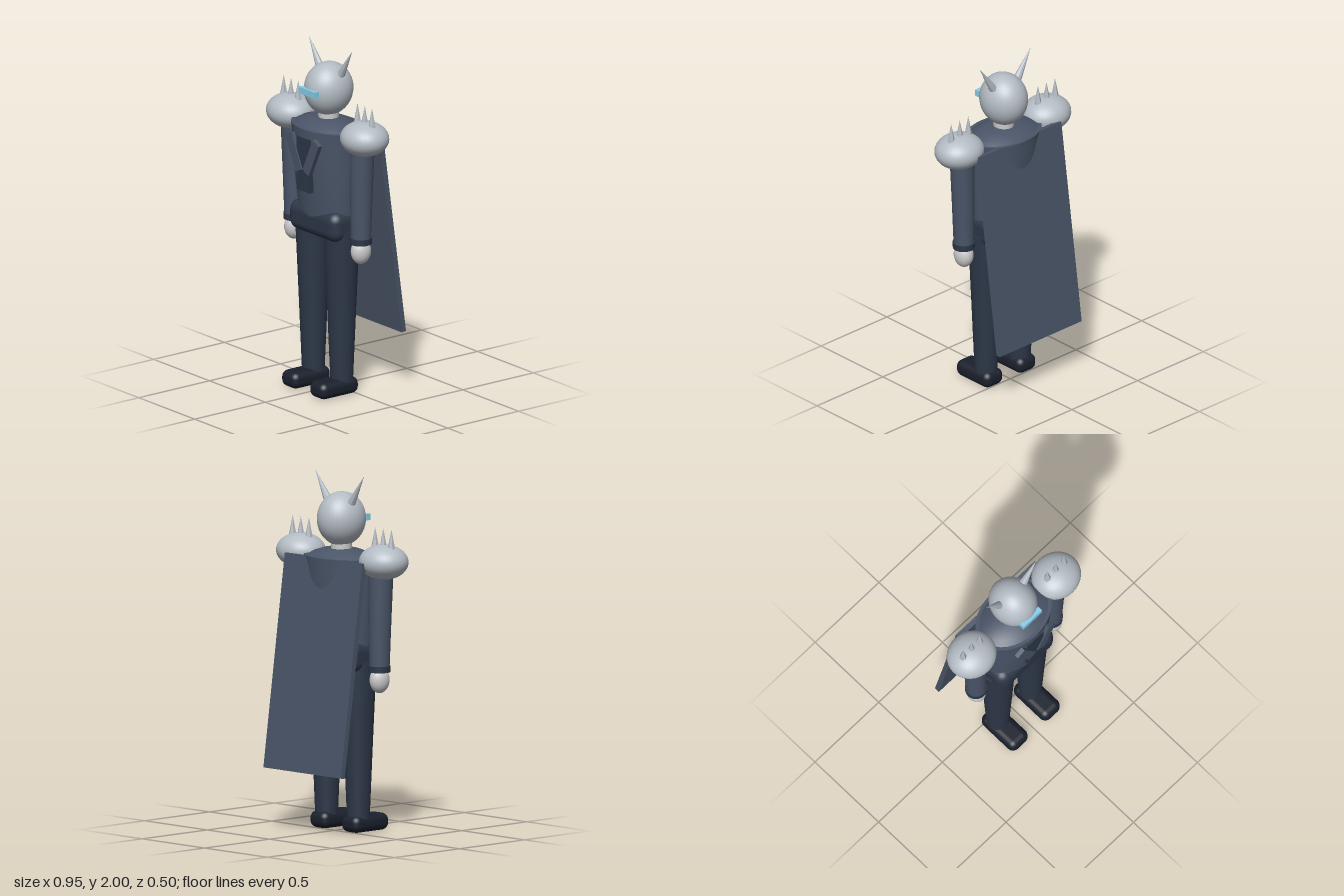
import * as THREE from 'three';
import { toCreasedNormals } from 'three/addons/utils/BufferGeometryUtils.js';
import { RoundedBoxGeometry } from 'three/addons/geometries/RoundedBoxGeometry.js';

const MID = 0.058; // z of the body's centre line

const mat = (color) => new THREE.MeshStandardMaterial({ color });
const metal = mat(0xb4bcc4);
const skin = mat(0xcccccc);
const coat = mat(0x4a5568);
const dark = mat(0x2d3748);
const black = mat(0x1a202c);
const glow = mat(0x87ceeb);

// Stacked ellipses, each [y, rx, rz, x offset], from bottom to top
function loft(sections, sides = 32) {
  const pos = [], index = [];
  for (const [y, rx, rz, x = 0] of sections) {
    for (let j = 0; j < sides; j++) {
      const a = (j / sides) * Math.PI * 2;
      pos.push(x + rx * Math.sin(a), y, rz * Math.cos(a));
    }
  }
  for (let i = 0; i < sections.length - 1; i++) {
    for (let j = 0; j < sides; j++) {
      const k = (j + 1) % sides;
      const a = i * sides + j, b = i * sides + k;
      index.push(a, b, a + sides, b, b + sides, a + sides);
    }
  }
  const g = new THREE.BufferGeometry();
  g.setAttribute('position', new THREE.Float32BufferAttribute(pos, 3));
  g.setIndex(index);
  return toCreasedNormals(g, 0.5);
}

export function createModel() {
  const model = new THREE.Group();
  model.name = 'armouredFigure';

  function add(name, geometry, material, x = 0, y = 0, z = 0) {
    const mesh = new THREE.Mesh(geometry, material);
    mesh.name = name;
    mesh.position.set(x, y, z);
    model.add(mesh);
    return mesh;
  }
  function ellipsoid(name, material, x, y, z, rx, ry, rz) {
    add(name, new THREE.SphereGeometry(1, 32, 24), material, x, y, z).scale.set(rx, ry, rz);
  }
  // Faceted cone from a base centre to a tip
  function spike(name, base, tip, radius, sides) {
    const dir = tip.clone().sub(base);
    const g = toCreasedNormals(new THREE.ConeGeometry(radius, dir.length(), sides), 0.3);
    const mesh = add(name, g, metal);
    mesh.position.copy(base).addScaledVector(dir, 0.5);
    mesh.quaternion.setFromUnitVectors(new THREE.Vector3(0, 1, 0), dir.normalize());
  }

  // Head, visor and neck
  ellipsoid('head', metal, 0, 1.743, 0.053, 0.13, 0.152, 0.143);
  add('visor', new THREE.BoxGeometry(0.144, 0.036, 0.03), glow, 0, 1.744, 0.194);
  add('neck', new THREE.CylinderGeometry(0.058, 0.058, 0.1, 24), skin, 0, 1.59, 0.053);

  // Torso with a raised rim and a sloping yoke
  add('torso', loft([
    [1.0, 0, 0], [1.0, 0.2, 0.125], [1.1, 0.21, 0.138], [1.25, 0.222, 0.157],
    [1.4, 0.232, 0.169], [1.48, 0.237, 0.172], [1.535, 0.245, 0.175],
    [1.535, 0.222, 0.157], [1.555, 0.185, 0.13], [1.575, 0.12, 0.085], [1.582, 0, 0],
  ]), coat, 0, 0, MID);
  add('pelvis', new RoundedBoxGeometry(0.43, 0.175, 0.255, 6, 0.06), dark, 0, 0.987, MID);

  // Chest plate
  add('chestPlate', new THREE.BoxGeometry(0.116, 0.31, 0.03), dark, 0, 1.33, 0.219);

  // Cape, hanging away from the back
  const cape = add('cape', new THREE.BoxGeometry(0.62, 1.2, 0.03), coat, 0, 0.938, -0.152);
  cape.rotation.x = 0.138;

  for (const s of [1, -1]) {
    const side = s > 0 ? 'left' : 'right';

    // Horn
    spike(side + 'Horn', new THREE.Vector3(s * 0.093, 1.84, 0.04),
      new THREE.Vector3(s * 0.195, 2.0, 0.04), 0.024, 8);

    // Lapel
    const lapel = add(side + 'Lapel', new THREE.BoxGeometry(0.06, 0.215, 0.025), coat,
      s * 0.077, 1.388, 0.229);
    lapel.rotation.z = -s * 0.44;

    // Shoulder guard with a row of three spikes
    ellipsoid(side + 'ShoulderGuard', metal, s * 0.331, 1.532, 0.06, 0.144, 0.098, 0.133);
    for (const x of [0.265, 0.33, 0.395]) {
      spike(side + 'ShoulderSpike', new THREE.Vector3(s * x, 1.59, MID),
        new THREE.Vector3(s * x, 1.722, MID), 0.026, 6);
    }

    // Arm, cuff and hand
    add(side + 'Arm', loft([
      [0.92, 0, 0, s * 0.297], [0.92, 0.056, 0.056, s * 0.297],
      [1.2, 0.063, 0.063, s * 0.302], [1.5, 0.07, 0.07, s * 0.31], [1.5, 0, 0, s * 0.31],
    ]), coat, 0, 0, MID + 0.002);
    add(side + 'Cuff', new THREE.CylinderGeometry(0.062, 0.061, 0.035, 32), dark,
      s * 0.297, 0.93, MID + 0.002);
    ellipsoid(side + 'Hand', skin, s * 0.298, 0.868, MID + 0.002, 0.051, 0.074, 0.06);

    // Leg and boot
    add(side + 'Leg', loft([
      [0.07, 0, 0, s * 0.127], [0.07, 0.063, 0.063, s * 0.127],
      [0.5, 0.081, 0.081, s * 0.127], [0.96, 0.1, 0.1, s * 0.129], [0.96, 0, 0, s * 0.129],
    ]), dark, 0, 0, 0.061);
    add(side + 'Boot', new RoundedBoxGeometry(0.137, 0.095, 0.268, 6, 0.04), black,
      s * 0.126, 0.0475, 0.114);
  }

  return model;
}
